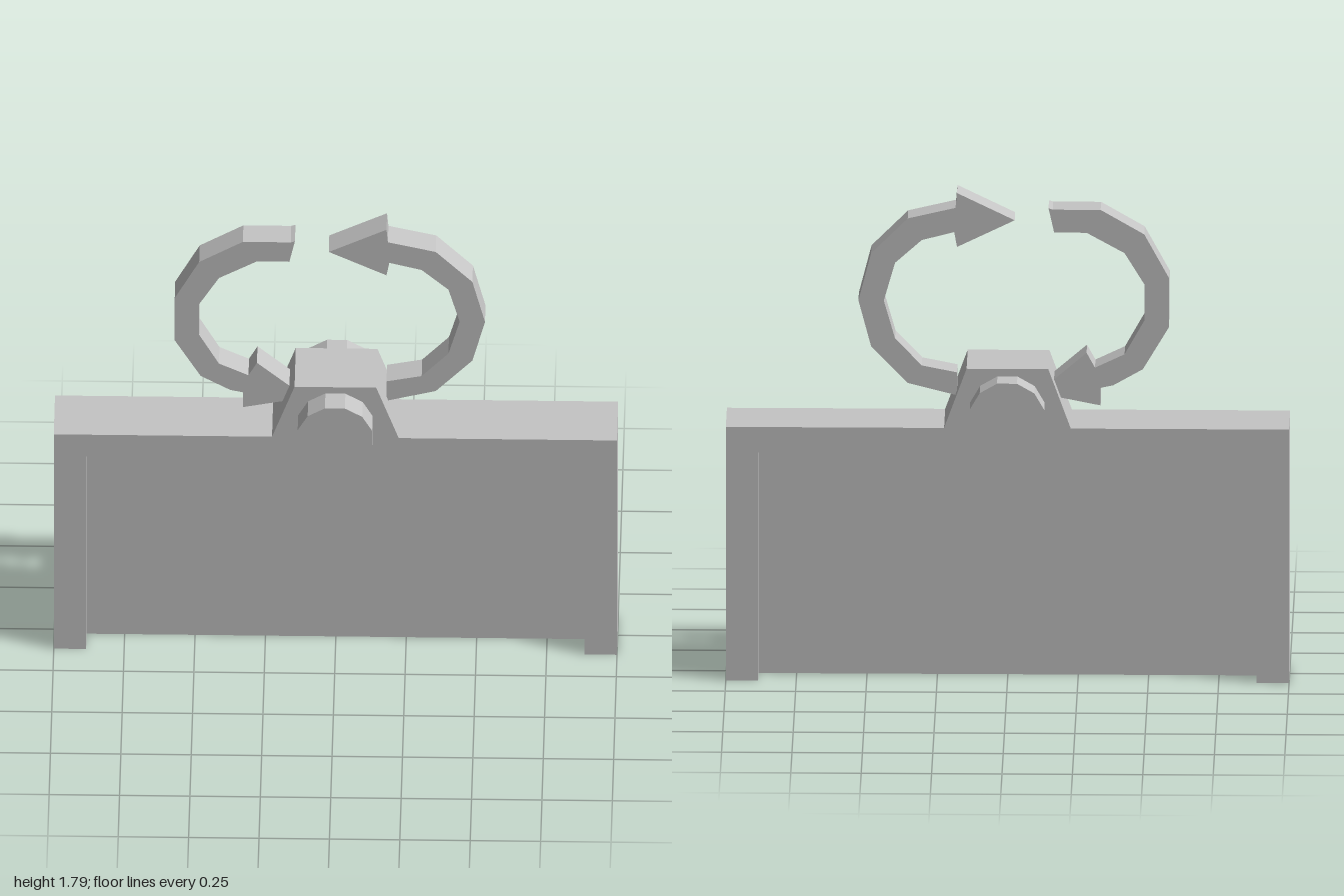
import * as THREE from 'three';

// Straight-sided outline extruded symmetrically about the z centre given
function plate(name, points, depth, material, z = 0) {
  const shape = new THREE.Shape(points.map(([x, y]) => new THREE.Vector2(x, y)));
  const geometry = new THREE.ExtrudeGeometry(shape, { depth, bevelEnabled: false });
  geometry.translate(0, 0, z - depth / 2);
  const mesh = new THREE.Mesh(geometry, material);
  mesh.name = name;
  return mesh;
}

export function createModel() {
  const model = new THREE.Group();
  model.name = 'signPanel';
  const grey = new THREE.MeshStandardMaterial({ color: 0xc4c4c4, flatShading: true });
  grey.name = 'lightGrey';

  // Frame open at the bottom, with the tapered hub block rising from its top
  const halfFrame = [
    [0.885, 0.845], [0.885, 0], [1, 0], [1, 0.94], [0.225, 0.94], [0.145, 1.16],
  ];
  const mirrored = halfFrame.map(([x, y]) => [-x, y]).reverse();
  model.add(plate('frame', [...halfFrame, ...mirrored], 0.235, grey));

  // Thin panel recessed on both faces
  const panel = new THREE.Mesh(new THREE.BoxGeometry(1.77, 0.845, 0.05), grey);
  panel.name = 'panel';
  panel.position.y = 0.4225;
  model.add(panel);

  // Twelve-sided pivot through the hub
  const pivot = new THREE.Mesh(new THREE.CylinderGeometry(0.137, 0.137, 0.415, 12), grey);
  pivot.name = 'pivot';
  pivot.geometry.rotateY(Math.PI / 12).rotateX(Math.PI / 2);
  pivot.position.y = 1;
  model.add(pivot);

  // Two curved arrows forming a broken ring above the hub
  const leftArrow = [
    [-0.145, 1.74], [-0.165, 1.65], [-0.28, 1.65], [-0.415, 1.575], [-0.485, 1.46],
    [-0.485, 1.325], [-0.415, 1.2], [-0.31, 1.15], [-0.28, 1.205], [-0.105, 1.055],
    [-0.33, 1.01], [-0.33, 1.075], [-0.375, 1.085], [-0.48, 1.145], [-0.572, 1.3],
    [-0.572, 1.485], [-0.485, 1.645], [-0.33, 1.735], [-0.16, 1.735],
  ];
  const rightArrow = [
    [-0.025, 1.695], [0.18, 1.795], [0.185, 1.74], [0.355, 1.7], [0.485, 1.57],
    [0.53, 1.395], [0.485, 1.225], [0.355, 1.09], [0.18, 1.045], [0.18, 1.13],
    [0.305, 1.155], [0.4, 1.255], [0.44, 1.395], [0.4, 1.535], [0.305, 1.62],
    [0.19, 1.65], [0.18, 1.595],
  ];
  model.add(plate('leftArrow', leftArrow, 0.1, grey, -0.013));
  model.add(plate('rightArrow', rightArrow, 0.1, grey, -0.013));

  return model;
}
